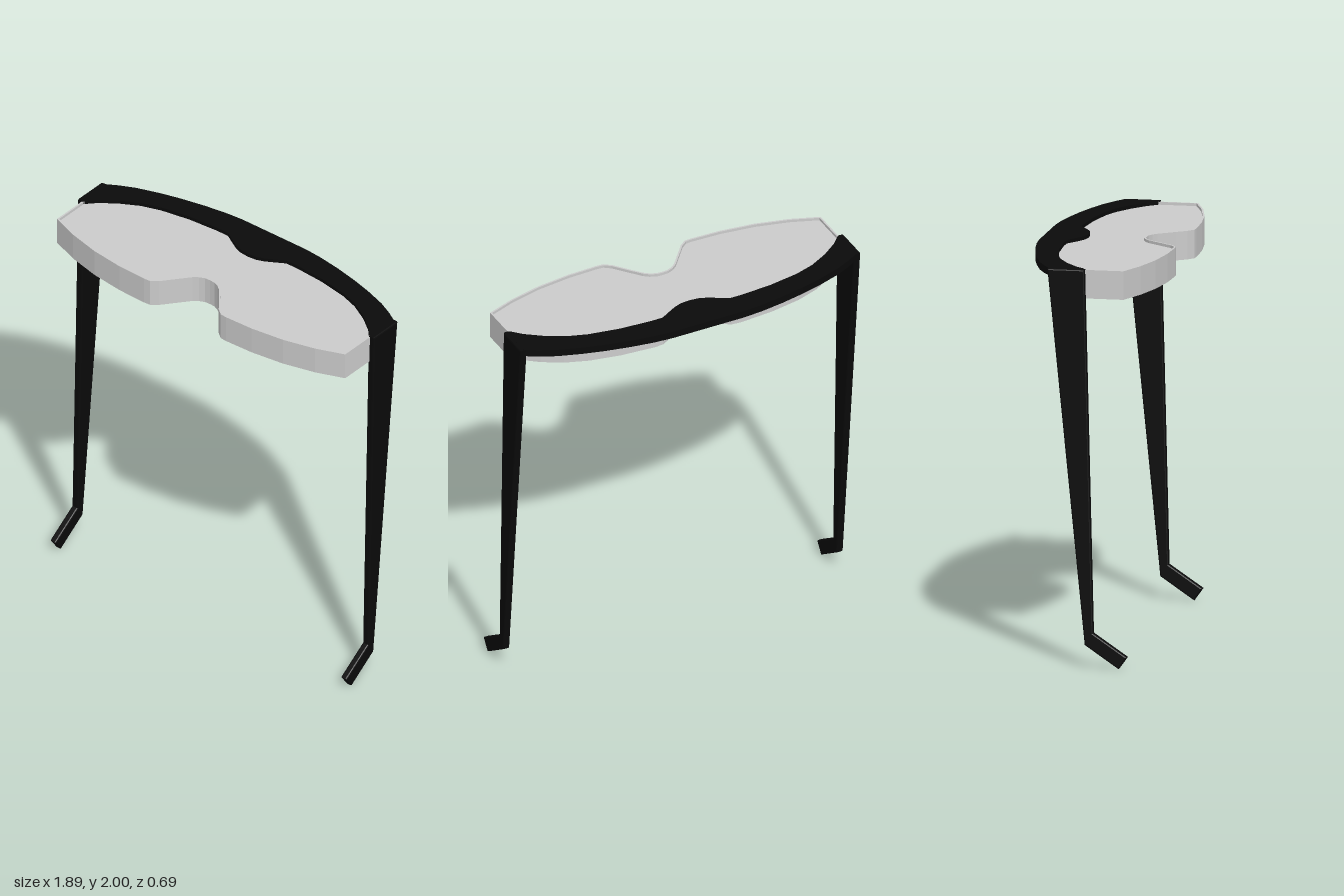
import * as THREE from 'three';

const black = new THREE.MeshStandardMaterial({ color: 0x0a0a0a });
const grey = new THREE.MeshStandardMaterial({ color: 0xcccccc, side: THREE.DoubleSide });

// Half curve from the centre outwards -> full curve from -x to +x
const mirror = (half) => [
  ...half.slice().reverse().filter(([x]) => x > 0).map(([x, z]) => [-x, z]),
  ...half,
];

// Move a closed outline inwards along its corner bisectors
function inset(points, d) {
  const n = points.length;
  const v = points.map(([x, z]) => new THREE.Vector2(x, z));
  const area = THREE.ShapeUtils.area(v);
  return v.map((p, i) => {
    const a = p.clone().sub(v[(i + n - 1) % n]).normalize();
    const b = v[(i + 1) % n].clone().sub(p).normalize();
    const t = a.clone().add(b).normalize();
    const k = (d * Math.sign(area)) / Math.max(0.6, t.dot(a));
    return [p.x - t.y * k, p.y + t.x * k];
  });
}

// Horizontal plate from an x/z outline, between two heights
function plate(name, outline, y0, y1, material, hole) {
  const toVec = ([x, z]) => new THREE.Vector2(x, -z);
  const shape = new THREE.Shape(outline.map(toVec));
  if (hole) shape.holes.push(new THREE.Path(hole.map(toVec)));
  const geo = new THREE.ExtrudeGeometry(shape, { depth: y1 - y0, bevelEnabled: false });
  geo.rotateX(-Math.PI / 2).translate(0, y0, 0);
  const mesh = new THREE.Mesh(geo, material);
  mesh.name = name;
  return mesh;
}

// Tapered temple arm with a bent ear tip, profile in z/y
function templeArm(name, x) {
  const bevel = 0.007, width = 0.036;
  const profile = [
    [0.028, 2], [0.072, 0.18], [0.243, 0.065], [0.2, 0.005], [0.03, 0.12], [-0.158, 2],
  ];
  const shape = new THREE.Shape(inset(profile, bevel).map(([z, y]) => new THREE.Vector2(-z, y)));
  const geo = new THREE.ExtrudeGeometry(shape, {
    depth: width - 2 * bevel, bevelSize: bevel, bevelThickness: bevel, bevelSegments: 2,
  });
  geo.translate(0, 0, bevel - width / 2).rotateY(Math.PI / 2);
  const mesh = new THREE.Mesh(geo, black);
  mesh.name = name;
  mesh.position.x = x;
  return mesh;
}

export function createModel() {
  const model = new THREE.Group();
  model.name = 'safetyGlasses';

  // Lens tray: thin panel surrounded by a shallow wall, open underneath
  const lensFront = mirror([
    [0, 0.15], [0.03, 0.152], [0.06, 0.165], [0.085, 0.185], [0.15, 0.265], [0.19, 0.315],
    [0.225, 0.342], [0.26, 0.345], [0.42, 0.34], [0.6, 0.317], [0.77, 0.275], [0.917, 0.22],
  ]);
  const lensBack = mirror([
    [0, -0.152], [0.05, -0.158], [0.1, -0.178], [0.15, -0.208], [0.19, -0.232], [0.24, -0.236],
    [0.42, -0.222], [0.58, -0.192], [0.7, -0.15], [0.8, -0.092], [0.87, -0.035], [0.917, 0.02],
  ]);
  const outline = [...lensFront, ...lensBack.reverse()];
  const inner = inset(outline, 0.009);
  model.add(plate('lensWall', outline, 1.853, 1.996, grey, inner));
  model.add(plate('lensPanel', inner, 1.973, 1.982, grey));

  // Brow bar along the back edge, with a nose bump on its inner side
  const browOuter = mirror([
    [0, -0.35], [0.2, -0.35], [0.3, -0.342], [0.42, -0.324], [0.55, -0.297],
    [0.66, -0.268], [0.78, -0.228], [0.86, -0.19], [0.925, -0.152],
  ]);
  const browInner = mirror([
    [0, -0.14], [0.05, -0.145], [0.09, -0.16], [0.14, -0.188], [0.185, -0.215], [0.25, -0.216],
    [0.42, -0.204], [0.58, -0.176], [0.68, -0.143], [0.78, -0.088], [0.86, -0.028], [0.905, 0.02],
    [0.925, 0.02],
  ]);
  model.add(plate('browBar', [...browOuter, ...browInner.reverse()], 1.963, 2, black));

  // Temple arms
  model.add(templeArm('leftTempleArm', 0.925), templeArm('rightTempleArm', -0.925));
  return model;
}
